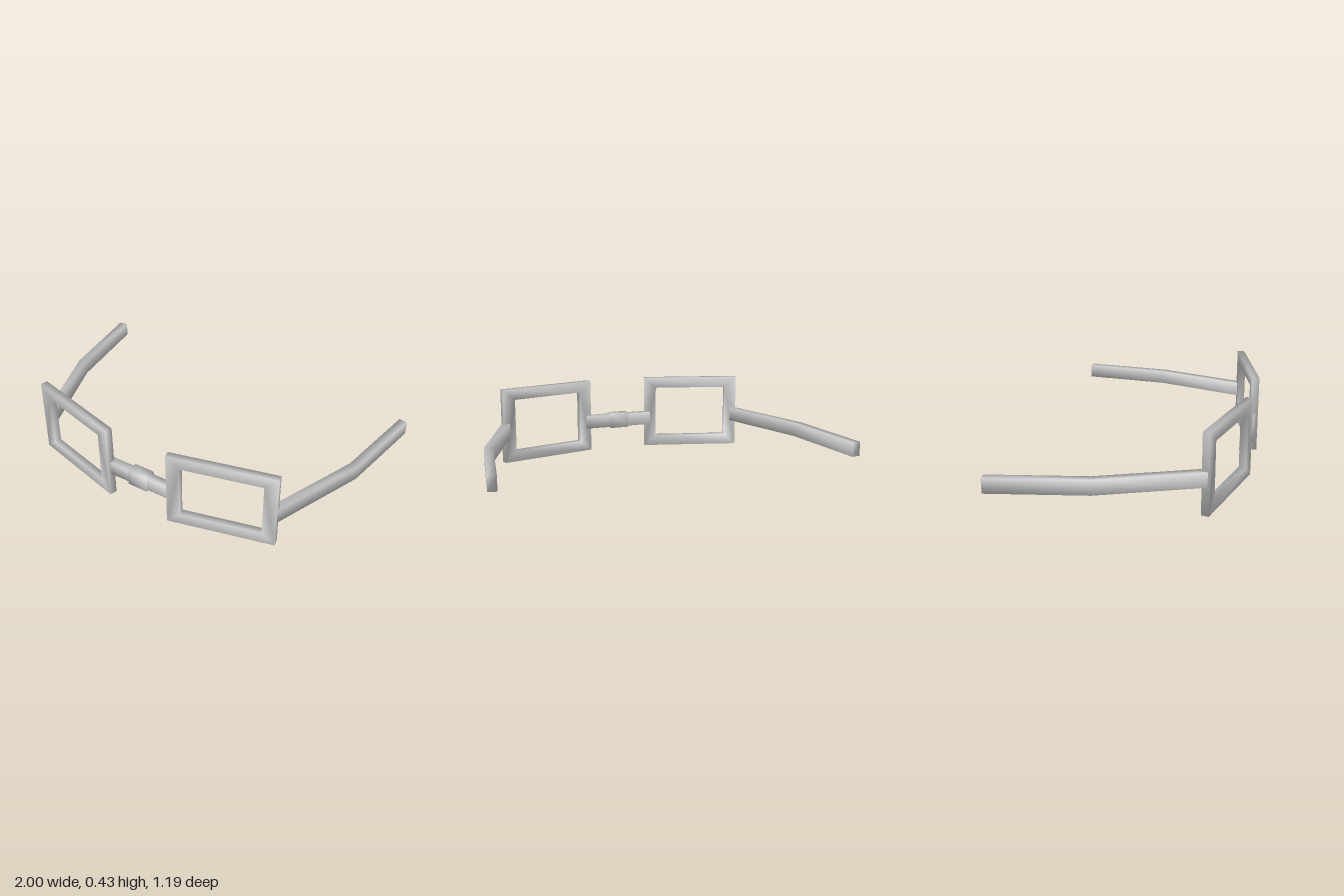
import * as THREE from 'three';
import { mergeVertices } from 'three/addons/utils/BufferGeometryUtils.js';

const material = new THREE.MeshStandardMaterial({ color: 0xcccccc });

function addMesh(parent, name, geometry) {
  const mesh = new THREE.Mesh(geometry, material);
  mesh.name = name;
  parent.add(mesh);
  return mesh;
}

// Rectangular bar swept along a path, softly shaded
function barGeometry(points, width, height) {
  const up = new THREE.Vector3(0, 1, 0);
  const positions = [];
  const index = [];
  const last = points.length - 1;
  const dir = (i) => points[i + 1].clone().sub(points[i]).setY(0).normalize();
  points.forEach((p, i) => {
    const tangent = dir(Math.min(i, last - 1)).add(dir(Math.max(i - 1, 0))).normalize();
    const side = up.clone().cross(tangent);
    for (const [a, b] of [[-1, -1], [1, -1], [1, 1], [-1, 1]]) {
      const v = p.clone().addScaledVector(side, a * width / 2).addScaledVector(up, b * height / 2);
      positions.push(v.x, v.y, v.z);
    }
  });
  for (let i = 0; i < last; i++) {
    for (let j = 0; j < 4; j++) {
      const a = i * 4 + j, b = i * 4 + (j + 1) % 4;
      index.push(a, b, b + 4, a, b + 4, a + 4);
    }
  }
  const e = last * 4;
  index.push(0, 2, 1, 0, 3, 2, e, e + 1, e + 2, e, e + 2, e + 3);
  const geometry = new THREE.BufferGeometry();
  geometry.setAttribute('position', new THREE.Float32BufferAttribute(positions, 3));
  geometry.setIndex(index);
  geometry.computeVertexNormals();
  return geometry;
}

function rectangle(target, w, h) {
  target.moveTo(-w / 2, -h / 2);
  target.lineTo(w / 2, -h / 2);
  target.lineTo(w / 2, h / 2);
  target.lineTo(-w / 2, h / 2);
  target.closePath();
  return target;
}

// Rectangular rim with an open window
function rimGeometry() {
  const depth = 0.04;
  const shape = rectangle(new THREE.Shape(), 0.578, 0.43);
  shape.holes.push(rectangle(new THREE.Path(), 0.434, 0.305));
  let geometry = new THREE.ExtrudeGeometry(shape, { depth, bevelEnabled: false });
  geometry.translate(0, 0, -depth / 2);
  geometry.deleteAttribute('normal');
  geometry.deleteAttribute('uv');
  geometry = mergeVertices(geometry);
  geometry.computeVertexNormals();
  return geometry;
}

export function createModel() {
  const group = new THREE.Group();
  group.name = 'eyeglasses';
  const vec = (x, y, z) => new THREE.Vector3(x, y, z);

  for (const [side, s] of [['left', 1], ['right', -1]]) {
    // Rims angled back from the bridge
    const rim = addMesh(group, side + 'Rim', rimGeometry());
    rim.position.set(s * 0.459, 0.215, 0.502);
    rim.rotation.y = s * 0.253;

    // Temple arms, bent once and dropping slightly to the rear
    const path = [vec(s * 0.72, 0.191, 0.432), vec(s * 0.906, 0.184, -0.085), vec(s * 0.975, 0.177, -0.597)];
    addMesh(group, side + 'Arm', barGeometry(path, 0.048, 0.078));
  }

  // Bridge with a thicker collar in the middle
  addMesh(group, 'bridge', barGeometry([vec(-0.205, 0.178, 0.556), vec(0.205, 0.178, 0.556)], 0.048, 0.076));
  addMesh(group, 'bridgeCollar', barGeometry([vec(-0.058, 0.179, 0.556), vec(0.058, 0.179, 0.556)], 0.068, 0.088));

  return group;
}
